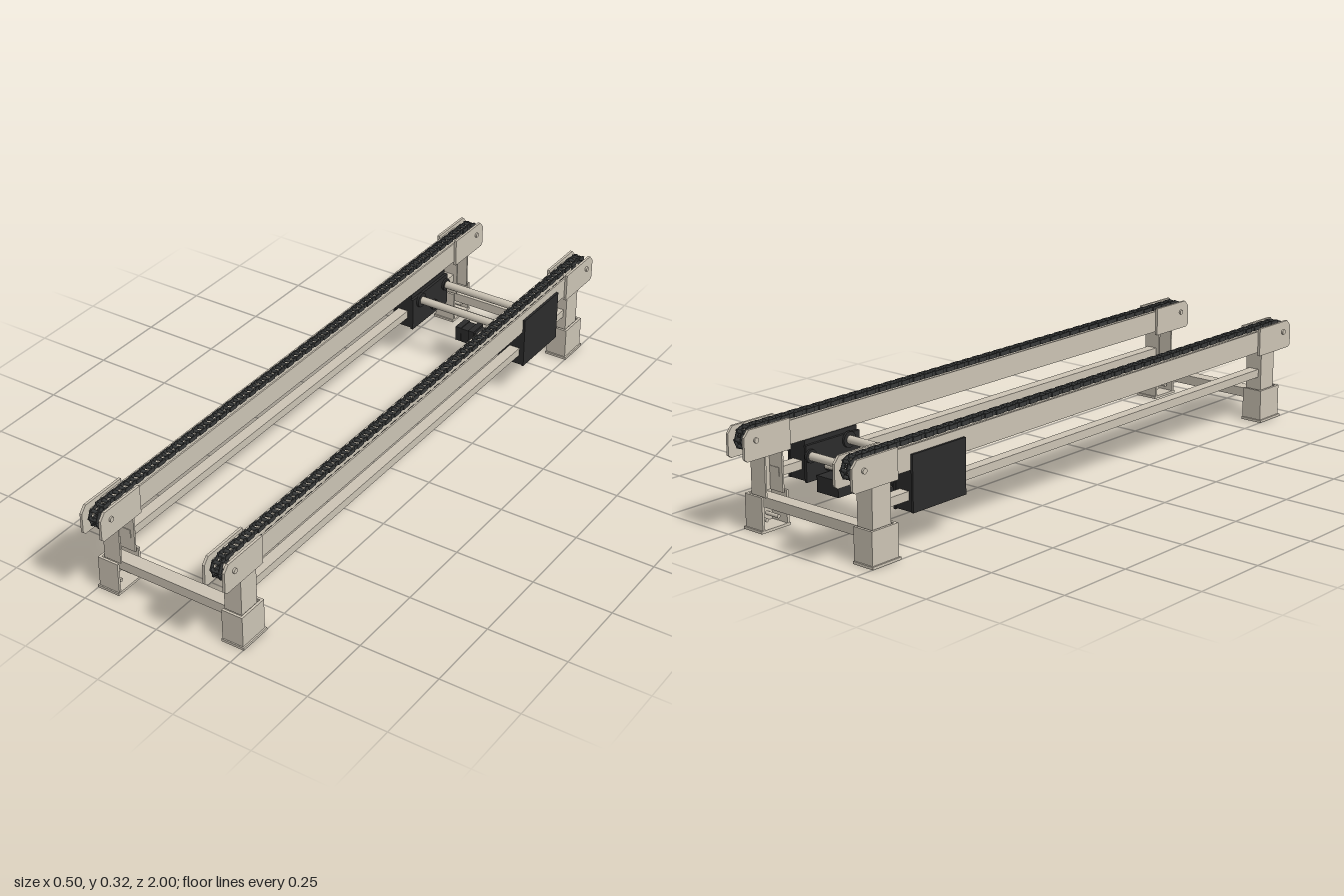
import * as THREE from 'three';
import { mergeGeometries } from 'three/addons/utils/BufferGeometryUtils.js';

const material = (name, color) => {
  const m = new THREE.MeshStandardMaterial({ color });
  m.name = name;
  return m;
};

// Box from its limits on each axis
const block = (x0, x1, y0, y1, z0, z1) => {
  const g = new THREE.BoxGeometry(Math.abs(x1 - x0), Math.abs(y1 - y0), Math.abs(z1 - z0));
  return g.translate((x0 + x1) / 2, (y0 + y1) / 2, (z0 + z1) / 2);
};

// Cylinder lying along x
const rod = (x0, x1, y, z, r, sides = 20) =>
  new THREE.CylinderGeometry(r, r, Math.abs(x1 - x0), sides)
    .rotateZ(Math.PI / 2).translate((x0 + x1) / 2, y, z);

const AXLE_Y = 0.278, AXLE_Z = 0.958, PITCH_R = 0.03, LINKS = 168;

// Point and direction at a distance along the chain loop
function loopPoint(d) {
  const L = 2 * AXLE_Z, A = Math.PI * PITCH_R;
  d = d % (2 * (L + A));
  if (d < L) return { z: -AXLE_Z + d, y: AXLE_Y + PITCH_R };
  d -= L;
  if (d < A) {
    const t = d / PITCH_R;
    return { z: AXLE_Z + PITCH_R * Math.sin(t), y: AXLE_Y + PITCH_R * Math.cos(t) };
  }
  d -= A;
  if (d < L) return { z: AXLE_Z - d, y: AXLE_Y - PITCH_R };
  const t = (d - L) / PITCH_R;
  return { z: -AXLE_Z - PITCH_R * Math.sin(t), y: AXLE_Y - PITCH_R * Math.cos(t) };
}

function chainGeometry(cx) {
  const parts = [], total = 2 * (2 * AXLE_Z + Math.PI * PITCH_R), pitch = total / LINKS;
  for (let i = 0; i < LINKS; i++) {
    const a = loopPoint(i * pitch), b = loopPoint((i + 1) * pitch);
    parts.push(rod(cx - 0.014, cx + 0.014, a.y, a.z, 0.0055, 8));
    const off = i % 2 ? 0.0135 : 0.0105;
    for (const k of [-1, 1]) {
      const plate = new THREE.BoxGeometry(0.003, 0.013, pitch * 1.3);
      plate.rotateX(-Math.atan2(b.y - a.y, b.z - a.z));
      parts.push(plate.translate(cx + k * off, (a.y + b.y) / 2, (a.z + b.z) / 2));
    }
  }
  return mergeGeometries(parts);
}

function sprocketGeometry(cx, z) {
  const shape = new THREE.Shape(), teeth = 10;
  for (let i = 0; i < teeth * 4; i++) {
    const r = i % 4 < 2 ? 0.024 : 0.033, a = (i / (teeth * 4)) * Math.PI * 2;
    shape[i ? 'lineTo' : 'moveTo'](r * Math.cos(a), r * Math.sin(a));
  }
  return new THREE.ExtrudeGeometry(shape, { depth: 0.006, bevelEnabled: false })
    .rotateY(Math.PI / 2).translate(cx - 0.003, AXLE_Y, z);
}

// Side plate of a bearing head, outer top corner cut off
function headPlate(x0, x1, e) {
  const s = new THREE.Shape();
  [[0.83, 0.222], [0.99, 0.222], [1, 0.23], [1, 0.292], [0.982, 0.312], [0.83, 0.312]]
    .forEach(([z, y], i) => s[i ? 'lineTo' : 'moveTo'](-z * e, y));
  return new THREE.ExtrudeGeometry(s, { depth: Math.abs(x1 - x0), bevelEnabled: false })
    .rotateY(Math.PI / 2).translate(Math.min(x0, x1), 0, 0);
}

// Upright channel, open toward the middle of the machine
const channel = (s, xo, xi, y0, y1, z0, z1, t) => [
  block(s * xo, s * (xo - t), y0, y1, z0, z1),
  block(s * (xo - t), s * xi, y0, y1, z0, z0 + t),
  block(s * (xo - t), s * xi, y0, y1, z1 - t, z1),
];

export function createModel() {
  const model = new THREE.Group();
  model.name = 'chainConveyor';
  const frame = material('warm grey paint', 0xcbc3b4);
  const black = material('black cover', 0x2b2b2b);
  const chainMat = material('dark chain steel', 0x383a3a);
  const add = (name, geos, mat, parent = model) => {
    const list = [].concat(geos).map((g) => (g.index ? g.toNonIndexed() : g));
    const mesh = new THREE.Mesh(mergeGeometries(list), mat);
    mesh.name = name;
    parent.add(mesh);
  };

  for (const s of [-1, 1]) {
    const side = new THREE.Group();
    side.name = s > 0 ? 'leftTrack' : 'rightTrack';
    model.add(side);
    const cx = s * 0.205;

    // Hollow rail with floor, side walls and chain lips
    add('rail', [
      block(s * 0.235, s * 0.178, 0.233, 0.239, -0.92, 0.92),
      block(s * 0.235, s * 0.23, 0.239, 0.302, -0.92, 0.92),
      block(s * 0.183, s * 0.178, 0.239, 0.302, -0.92, 0.92),
      block(s * 0.23, s * 0.222, 0.284, 0.289, -0.92, 0.92),
      block(s * 0.188, s * 0.183, 0.284, 0.289, -0.92, 0.92),
    ], frame, side);
    add('lowerTie', block(s * 0.225, s * 0.19, 0.145, 0.171, -0.86, 0.86), frame, side);
    add('chain', chainGeometry(cx), chainMat, side);

    for (const e of [-1, 1]) {
      const z = e * 0.887;
      add('leg', channel(s, 0.235, 0.178, 0.1, 0.234, z - 0.035, z + 0.035, 0.006), frame, side);
      add('foot', [
        ...channel(s, 0.247, 0.178, 0.008, 0.105, z - 0.05, z + 0.05, 0.008),
        block(s * 0.252, s * 0.177, 0, 0.008, z - 0.054, z + 0.054),
      ], frame, side);
      // Levelling bolts inside the foot
      add('footBolts', [-0.022, 0.022].map((d) => rod(s * 0.239, s * 0.19, 0.03, z + d, 0.006, 8)), frame, side);
      add('headPlates', [headPlate(s * 0.243, s * 0.235, e), headPlate(s * 0.178, s * 0.17, e)], frame, side);
      add('axle', [
        rod(s * 0.249, s * 0.165, AXLE_Y, e * AXLE_Z, 0.008),
        rod(s * 0.235, s * 0.225, AXLE_Y, e * AXLE_Z, 0.014),
        rod(s * 0.187, s * 0.178, AXLE_Y, e * AXLE_Z, 0.014),
      ], frame, side);
      add('sprocket', sprocketGeometry(cx, e * AXLE_Z), chainMat, side);
    }

    // Drive cover hanging under the rail
    add('driveCover', [
      block(s * 0.243, s * 0.2355, 0.113, 0.278, -0.775, -0.565),
      block(s * 0.2355, s * 0.177, 0.113, 0.232, -0.772, -0.568),
      block(s * 0.177, s * 0.168, 0.11, 0.218, -0.775, -0.565),
    ], black, side);
    add('shaftFlanges', [
      rod(s * 0.17, s * 0.161, 0.2, -0.61, 0.024),
      rod(s * 0.17, s * 0.161, 0.186, -0.76, 0.02),
      rod(s * 0.17, s * 0.161, 0.144, -0.69, 0.017),
    ], black, side);
  }

  // Cross members between the legs
  for (const e of [-1, 1])
    add('crossBeam', block(-0.238, 0.238, 0.065, 0.095, e * 0.885 - 0.022, e * 0.885 + 0.022), frame);

  // Tubes and shaft joining the two drive covers
  add('spacerTubes', [
    rod(-0.165, 0.165, 0.2, -0.61, 0.0125),
    rod(-0.165, 0.165, 0.186, -0.76, 0.0125),
  ], frame);
  add('driveShaft', rod(-0.165, 0.165, 0.144, -0.7, 0.009), frame);

  // Gear motor
  add('gearbox', [
    block(0.08, 0.167, 0.078, 0.128, -0.69, -0.63),
    block(0.075, 0.16, 0.078, 0.127, -0.745, -0.69),
  ], black);
  add('motor', [
    block(-0.048, -0.028, 0.078, 0.127, -0.69, -0.634),
    block(-0.028, 0.0, 0.076, 0.124, -0.688, -0.636),
    block(0.0, 0.02, 0.075, 0.128, -0.692, -0.632),
    block(0.02, 0.08, 0.08, 0.122, -0.686, -0.638),
  ], black);
  return model;
}
